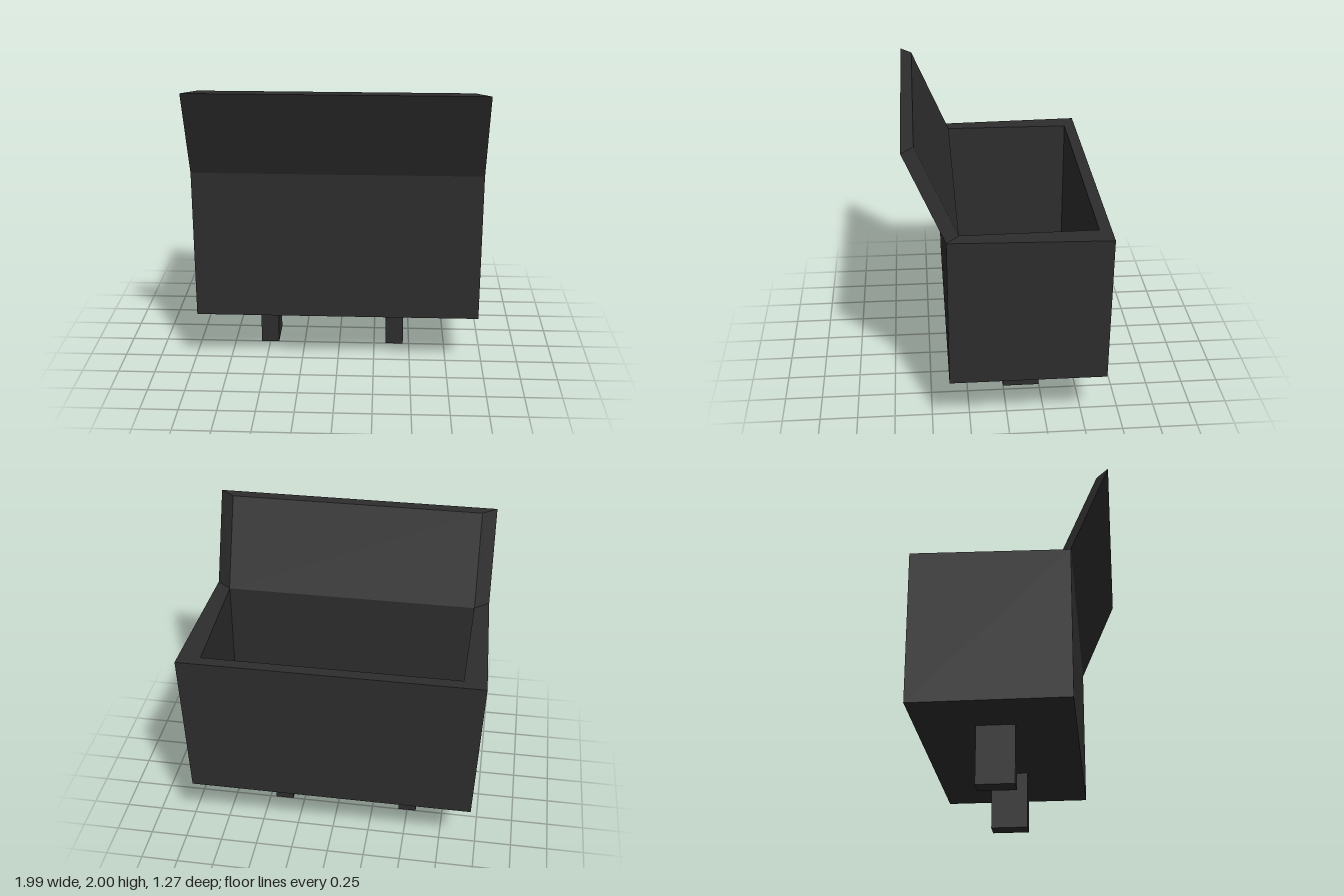
import * as THREE from 'three';

// Skins a list of four-cornered rings, closing the first and last ring.
function loft(rings) {
  const pos = [];
  const quad = (a, b, c, d) => pos.push(...a, ...b, ...c, ...a, ...c, ...d);
  const first = rings[0], last = rings[rings.length - 1];
  quad(first[3], first[2], first[1], first[0]);
  for (let r = 0; r < rings.length - 1; r++) {
    for (let i = 0; i < 4; i++) {
      const j = (i + 1) % 4;
      quad(rings[r][i], rings[r][j], rings[r + 1][j], rings[r + 1][i]);
    }
  }
  quad(...last);
  const geo = new THREE.BufferGeometry();
  geo.setAttribute('position', new THREE.Float32BufferAttribute(pos, 3));
  geo.computeVertexNormals();
  return geo;
}

// Horizontal ring: front and back half widths at height y.
const level = (y, xFront, zFront, xBack, zBack) => [
  [-xFront, y, zFront], [xFront, y, zFront], [xBack, y, zBack], [-xBack, y, zBack],
];

// Upright ring for the flap, leaning from zLow to zHigh.
const leaning = (x, yLow, zLow, yHigh, zHigh) => [
  [x, yLow, zLow], [-x, yLow, zLow], [-x, yHigh, zHigh], [x, yHigh, zHigh],
];

export function createModel() {
  const group = new THREE.Group();
  const charcoal = new THREE.MeshStandardMaterial({ color: 0x2d2d2d, flatShading: true });
  charcoal.name = 'charcoal';
  const add = (name, geo) => {
    const mesh = new THREE.Mesh(geo, charcoal);
    mesh.name = name;
    group.add(mesh);
    return mesh;
  };

  // Hollow bin: outer walls, rim, inner walls and floor
  add('bin', loft([
    level(0.39, 0.957, 0.385, 0.957, -0.637),
    level(1.405, 0.957, 0.385, 0.995, -0.637),
    level(1.405, 0.858, 0.305, 0.845, -0.56),
    level(0.47, 0.858, 0.305, 0.845, -0.56),
  ]));

  // Front flap leaning outwards, with bevelled ends
  add('frontFlap', loft([
    leaning(0.957, 1.405, 0.385, 2, 0.637),
    leaning(0.86, 1.405, 0.305, 2, 0.56),
  ]));

  // Two legs
  for (const [name, x] of [['rightLeg', -0.5], ['leftLeg', 0.395]]) {
    add(name, new THREE.BoxGeometry(0.125, 0.39, 0.25)).position.set(x, 0.195, -0.125);
  }
  return group;
}
